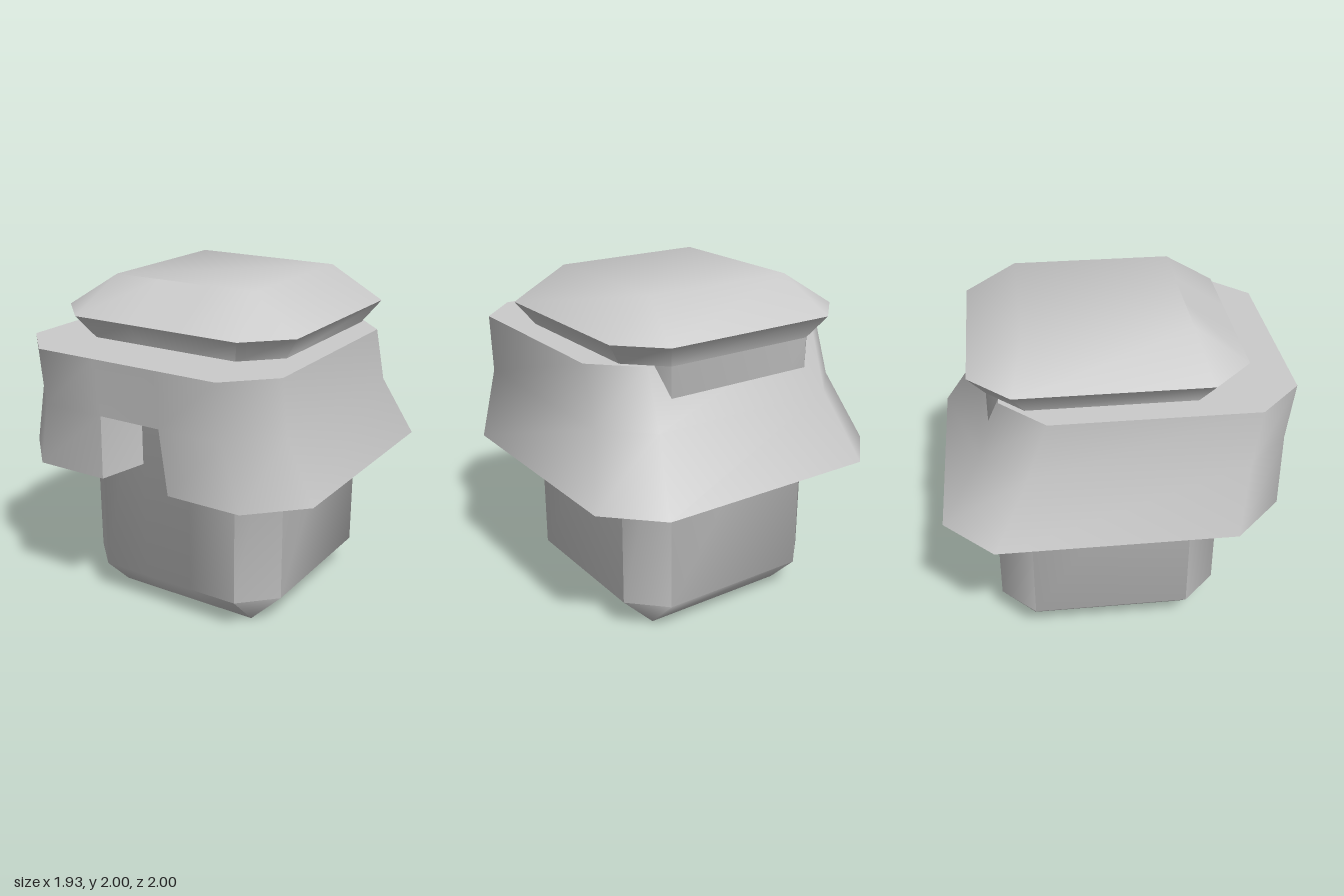
import * as THREE from 'three';
import { toCreasedNormals } from 'three/addons/utils/BufferGeometryUtils.js';

// Chamfered rectangle at height y, counterclockwise from above; the points at x = +-n lie on the front edge
function ring(y, w, zBack, zFront, c, n) {
  return [
    [-w + c, zFront], [-n, zFront], [n, zFront], [w - c, zFront],
    [w, zFront - c], [w, zBack + c],
    [w - c, zBack], [-w + c, zBack],
    [-w, zBack + c], [-w, zFront - c],
  ].map(([x, z]) => new THREE.Vector3(x, y, z));
}

// Collects faces and turns them into a mesh with smooth chamfers and sharp creases
class Faces {
  constructor() { this.points = []; }
  tri(a, b, c) {
    if (new THREE.Triangle(a, b, c).getArea() > 1e-7) this.points.push(a, b, c);
  }
  quad(a, b, c, d) { this.tri(a, b, c); this.tri(a, c, d); }
  // Band of quads from ring a to ring b, leaving out segment `skip`
  bridge(a, b, skip = -1) {
    a.forEach((p, i) => {
      const j = (i + 1) % a.length;
      if (i !== skip) this.quad(p, a[j], b[j], b[i]);
    });
  }
  fan(r) { for (let i = 1; i < r.length - 1; i++) this.tri(r[0], r[i], r[i + 1]); }
  mesh(name) {
    const geometry = new THREE.BufferGeometry().setFromPoints(this.points);
    const mesh = new THREE.Mesh(
      toCreasedNormals(geometry, 1.0),
      new THREE.MeshStandardMaterial({ color: 0xcccccc }),
    );
    mesh.name = name;
    return mesh;
  }
}

// Block with bevelled base and overhanging, bevelled crown: [height, half width, chamfer]
function createBody() {
  const zMid = -0.035;
  const rings = [
    [0, 0.465, 0], [0.2, 0.665, 0.2], [1.665, 0.67, 0.2], [1.8, 0.768, 0.23], [2, 0.465, 0],
  ].map(([y, h, c]) => ring(y, h, zMid - h, zMid + h, c, 0.16));
  const f = new Faces();
  for (let i = 0; i < rings.length - 1; i++) f.bridge(rings[i], rings[i + 1]);
  f.fan([...rings[0]].reverse());
  f.fan(rings[rings.length - 1]);
  return f.mesh('body');
}

// Flared collar around the body, leaning forward, with a notch in the lower front
function createCollar() {
  const outer = [
    ring(0.94, 0.965, -1.0, 0.93, 0.285, 0.225),
    ring(1.33, 0.835, -0.76, 0.96, 0.25, 0.195),
    ring(1.665, 0.825, -0.64, 1.0, 0.245, 0.195),
  ];
  const inner = [0.94, 1.33, 1.665].map((y) => ring(y, 0.6, -0.62, 0.6, 0.18, 0.155));
  const notch = 1;
  const f = new Faces();
  f.bridge(outer[0], outer[1], notch);
  f.bridge(outer[1], outer[2]);
  f.bridge(outer[2], inner[2]);
  f.bridge(inner[0], outer[0], notch);

  // Notch side walls and roof
  const [o0, o1] = outer, [i0, i1] = inner;
  f.quad(o0[1], i0[1], i1[1], o1[1]);
  f.quad(i0[2], o0[2], o1[2], i1[2]);
  f.quad(o1[1], i1[1], i1[2], o1[2]);
  return f.mesh('collar');
}

export function createModel() {
  const model = new THREE.Group();
  model.name = 'model';
  model.add(createBody(), createCollar());
  return model;
}
